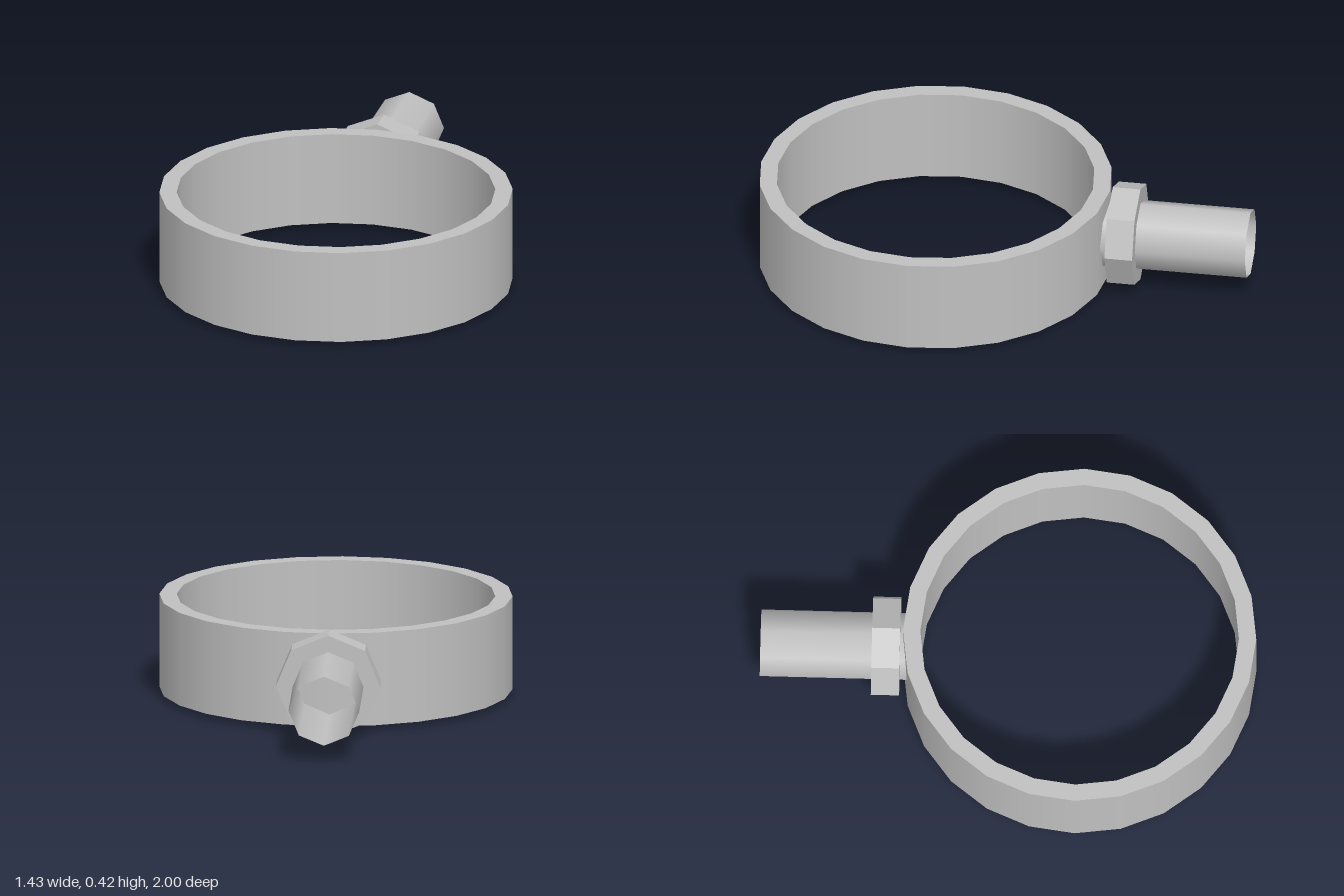
import * as THREE from 'three';
import { mergeGeometries } from 'three/addons/utils/BufferGeometryUtils.js';

// Revolve each profile edge on its own: smooth around, sharp between edges
function turned(profile, sides) {
  const bands = [];
  for (let i = 0; i < profile.length - 1; i++) {
    const pts = [profile[i], profile[i + 1]].map(([r, y]) => new THREE.Vector2(r, y));
    bands.push(new THREE.LatheGeometry(pts, sides));
  }
  return mergeGeometries(bands);
}

export function createModel() {
  const group = new THREE.Group();
  const make = (name, color, opts = {}) => {
    const m = new THREE.MeshStandardMaterial({ color, ...opts });
    m.name = name;
    return m;
  };
  const steel = make('steel grey', 0xc0c0c0, { side: THREE.DoubleSide });
  const add = (name, geometry) => {
    const mesh = new THREE.Mesh(geometry, steel);
    mesh.name = name;
    group.add(mesh);
    return mesh;
  };

  // Clamp ring: a 24-sided band with thick walls
  const outer = 0.713, inner = 0.643, low = 0.02, high = 0.403;
  add('ring', turned([[outer, low], [outer, high], [inner, high], [inner, low], [outer, low]], 24))
    .position.z = 0.287;

  // Octagonal nut around the pipe, faceted
  const nut = turned([[0.143, -0.55], [0.211, -0.55], [0.211, -0.437], [0.143, -0.437]], 8)
    .toNonIndexed();
  nut.computeVertexNormals();
  nut.rotateX(Math.PI / 2);
  add('nut', nut).position.y = 0.211;

  // Open pipe running back from the ring wall
  const pipe = turned([[0.143, -1], [0.143, -0.38]], 8);
  pipe.rotateX(Math.PI / 2);
  add('pipe', pipe).position.y = 0.211;

  return group;
}
